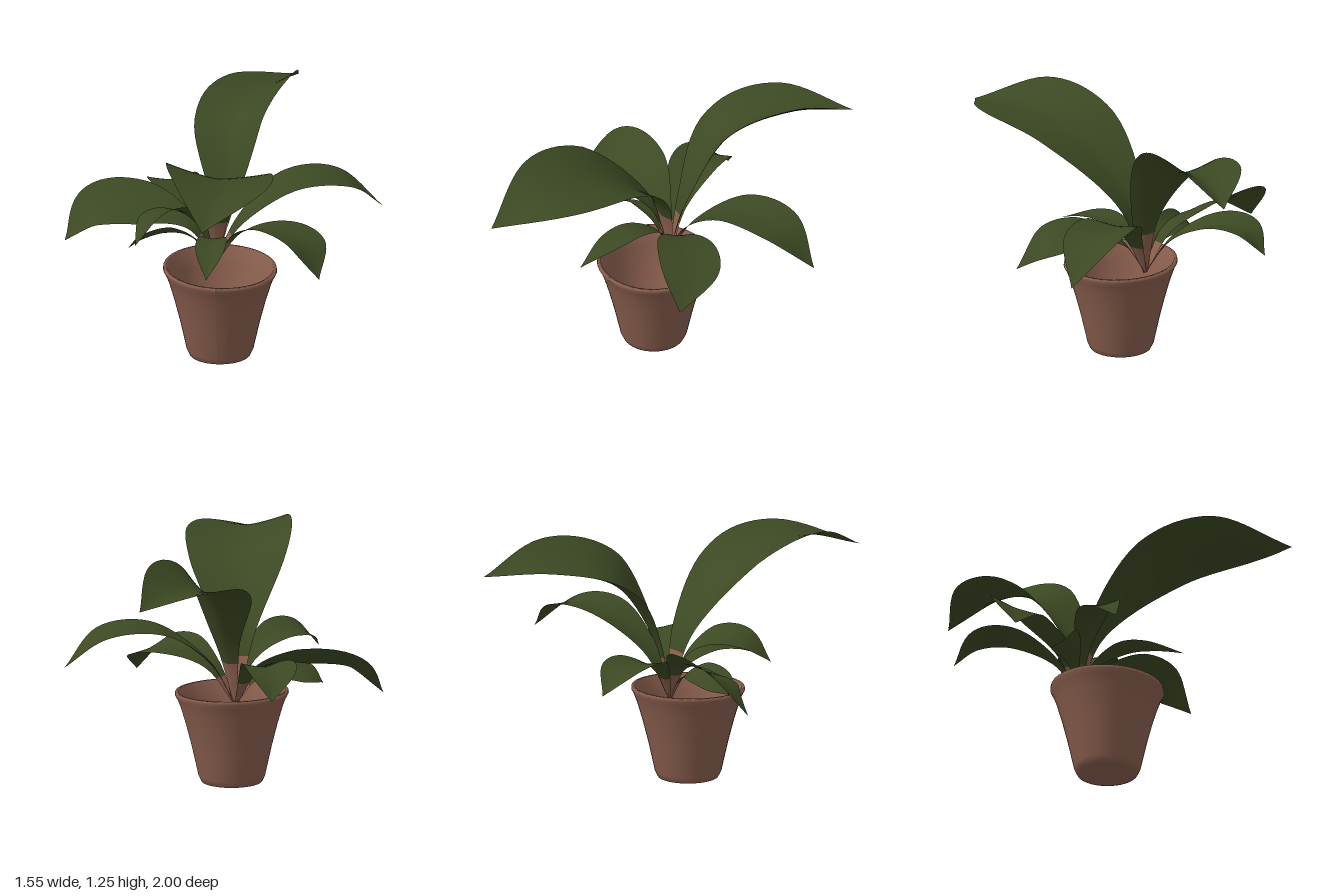
import * as THREE from 'three';

const clay = new THREE.MeshStandardMaterial({ color: 0x8a5f4e, side: THREE.DoubleSide });
clay.name = 'clay brown';
const green = new THREE.MeshStandardMaterial({ color: 0x3c4923, side: THREE.DoubleSide });
green.name = 'leaf green';

const UP = new THREE.Vector3(0, 1, 0);
const ROOT = new THREE.Vector3(-0.04, 0.42, -0.13);

// Outline shared by all leaves: thin stalk, broad middle, pointed tip
const outline = new THREE.CatmullRomCurve3(
  [0.05, 0.36, 0.92, 0.9, 0].map(w => new THREE.Vector3(w, 0, 0)), false, 'catmullrom', 0.5);

// Strip along the spine from t0 to t1. Roll lifts the side to the right of
// the growing direction, fold lifts both edges into a channel.
function strip(spine, t0, t1, { width, roll, fold }) {
  const rows = 28, cols = 12, pos = [], index = [];
  const chord = spine.getPoint(1).sub(ROOT).setY(0).normalize();
  for (let i = 0; i <= rows; i++) {
    const t = t0 + (t1 - t0) * i / rows;
    const p = spine.getPoint(t), tangent = spine.getTangent(t);
    const across = tangent.clone().setY(0).add(chord).cross(UP).normalize();
    const normal = across.clone().cross(tangent).normalize();
    const angle = roll * Math.min(1, t * 2);
    const side = across.clone().multiplyScalar(Math.cos(angle)).addScaledVector(normal, Math.sin(angle));
    const lift = normal.clone().multiplyScalar(Math.cos(angle)).addScaledVector(across, -Math.sin(angle));
    const half = Math.max(0.001, width * outline.getPoint(t).x);
    for (let j = 0; j <= cols; j++) {
      const v = j / cols * 2 - 1;
      const q = p.clone().addScaledVector(side, v * half)
        .addScaledVector(lift, fold * half * Math.pow(Math.abs(v), 1.4));
      pos.push(q.x, q.y, q.z);
      if (i < rows && j < cols) {
        const a = i * (cols + 1) + j, b = a + cols + 1;
        index.push(a, a + 1, b, a + 1, b + 1, b);
      }
    }
  }
  const g = new THREE.BufferGeometry();
  g.setAttribute('position', new THREE.Float32BufferAttribute(pos, 3));
  g.setIndex(index);
  g.computeVertexNormals();
  return g;
}

// A leaf: brown stalk at the bottom, green blade above
function makeLeaf(name, points, width, roll, fold) {
  const spine = new THREE.CatmullRomCurve3(
    [ROOT, ...points.map(p => new THREE.Vector3(...p))], false, 'catmullrom', 0.5);
  const stalkEnd = 0.17;
  const leaf = new THREE.Group();
  leaf.name = name;
  const stalk = new THREE.Mesh(strip(spine, 0, stalkEnd, { width, roll, fold }), clay);
  stalk.name = 'stalk';
  const blade = new THREE.Mesh(strip(spine, stalkEnd, 1, { width, roll, fold }), green);
  blade.name = 'blade';
  leaf.add(stalk, blade);
  return leaf;
}

function makeFoliage() {
  const foliage = new THREE.Group();
  foliage.name = 'foliage';
  // two tall leaves
  foliage.add(makeLeaf('frontLargeLeaf',
    [[-0.03, 0.765, -0.03], [0.01, 1.045, 0.29], [0.05, 1.125, 0.66], [0, 1.04, 1]], 0.265, 0.1, 0.2));
  foliage.add(makeLeaf('backLargeLeaf',
    [[0.01, 0.74, -0.2], [0.04, 1.04, -0.41], [0.15, 1.13, -0.71], [0.3, 1.1, -1]], 0.215, 0.22, 0.4));
  // arching leaves on the left
  foliage.add(makeLeaf('leftBackLeaf',
    [[0.09, 0.645, -0.165], [0.32, 0.81, -0.26], [0.58, 0.805, -0.345], [0.77, 0.65, -0.41]], 0.15, 0, 0.12));
  foliage.add(makeLeaf('leftFrontLeaf',
    [[0.085, 0.605, -0.085], [0.26, 0.675, 0], [0.43, 0.635, 0.1], [0.51, 0.5, 0.22]], 0.155, 0.15, 0.1));
  // arching leaves on the right
  foliage.add(makeLeaf('rightLeaf',
    [[-0.16, 0.62, -0.165], [-0.39, 0.69, -0.215], [-0.64, 0.675, -0.21], [-0.78, 0.52, -0.14]], 0.15, 0.5, 0.1));
  foliage.add(makeLeaf('rightBackLeaf',
    [[-0.12, 0.6, -0.235], [-0.23, 0.695, -0.405], [-0.295, 0.69, -0.57], [-0.31, 0.59, -0.69]], 0.13, 0, 0.2));
  foliage.add(makeLeaf('rightFrontLeaf',
    [[-0.1, 0.64, -0.085], [-0.21, 0.76, 0.015], [-0.33, 0.755, 0.125], [-0.4, 0.65, 0.23]], 0.1, -0.3, 0.15));
  // small low leaves
  foliage.add(makeLeaf('rightLowLeaf',
    [[-0.14, 0.56, -0.115], [-0.26, 0.6, -0.09], [-0.385, 0.575, -0.055], [-0.46, 0.53, -0.03]], 0.08, -0.55, 0.15));
  foliage.add(makeLeaf('frontLowLeaf',
    [[-0.033, 0.57, -0.06], [-0.03, 0.64, 0.09], [-0.03, 0.625, 0.25], [-0.03, 0.56, 0.43]], 0.075, 0, 0.15));
  return foliage;
}

function makePot() {
  // outer wall, rim, inner wall and floor as one turned profile
  const profile = [[0, 0.015], [0.135, 0], [0.15, 0.004], [0.165, 0.035], [0.197, 0.18], [0.225, 0.29],
    [0.25, 0.375], [0.268, 0.425], [0.281, 0.448], [0.279, 0.463], [0.264, 0.463],
    [0.235, 0.37], [0.155, 0.05], [0, 0.035]].map(([r, y]) => new THREE.Vector2(r, y));
  const g = new THREE.LatheGeometry(profile, 40);
  // the rim leans slightly towards the front left
  const p = g.attributes.position;
  for (let i = 0; i < p.count; i++) {
    const y = p.getY(i);
    p.setY(i, y - (y / 0.46) * (0.03 * p.getZ(i) + 0.025 * p.getX(i)));
  }
  g.computeVertexNormals();
  const pot = new THREE.Mesh(g, clay);
  pot.name = 'pot';
  return pot;
}

export function createModel() {
  const model = new THREE.Group();
  model.name = 'pottedPlant';
  model.add(makePot(), makeFoliage());
  return model;
}
